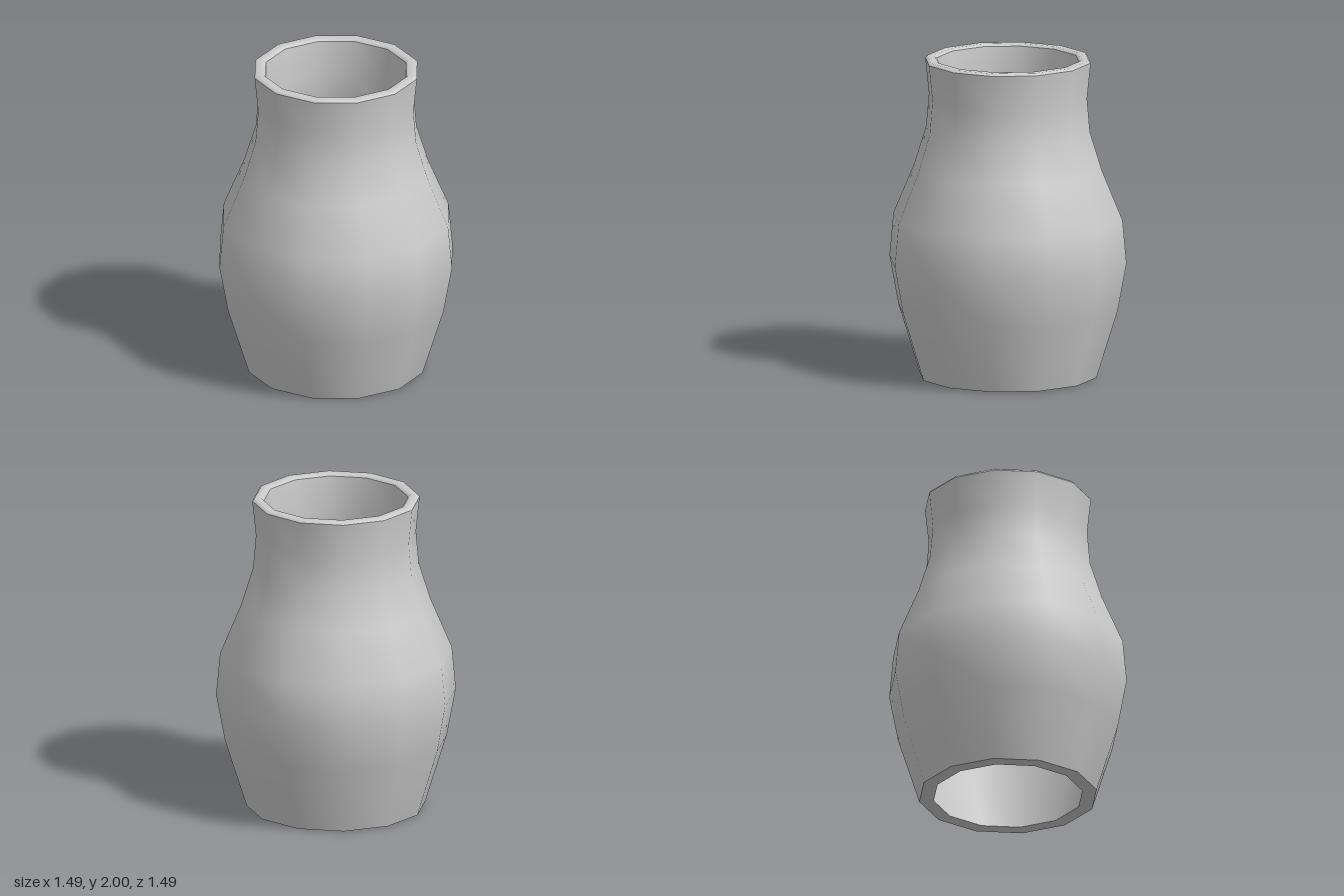
import * as THREE from 'three';

const SIDES = 12;

export function createModel() {
  const group = new THREE.Group();
  group.name = 'vase';
  const material = new THREE.MeshStandardMaterial({ color: 0xcccccc });

  // Each strip is a smooth lathe; the joins between strips stay sharp.
  function strip(name, profile) {
    const points = profile.map(([r, y]) => new THREE.Vector2(r, y));
    const mesh = new THREE.Mesh(new THREE.LatheGeometry(points, SIDES), material);
    mesh.name = name;
    group.add(mesh);
  }

  // Outside: foot, belly, shoulder, flared neck
  strip('outerWall', [
    [0.556, 0], [0.69, 0.43], [0.745, 0.73], [0.72, 1.0],
    [0.59, 1.31], [0.515, 1.55], [0.497, 1.76], [0.52, 1.985],
  ]);

  // Softly rounded lip
  strip('rim', [[0.52, 1.985], [0.507, 2], [0.462, 2], [0.448, 1.985]]);

  // Inside wall follows the outside, open right through
  strip('innerWall', [
    [0.448, 1.985], [0.422, 1.76], [0.44, 1.54], [0.518, 1.28],
    [0.642, 0.98], [0.665, 0.73], [0.612, 0.45], [0.466, 0],
  ]);

  // Flat ring the vase stands on
  strip('footRing', [[0.466, 0], [0.556, 0]]);

  return group;
}
